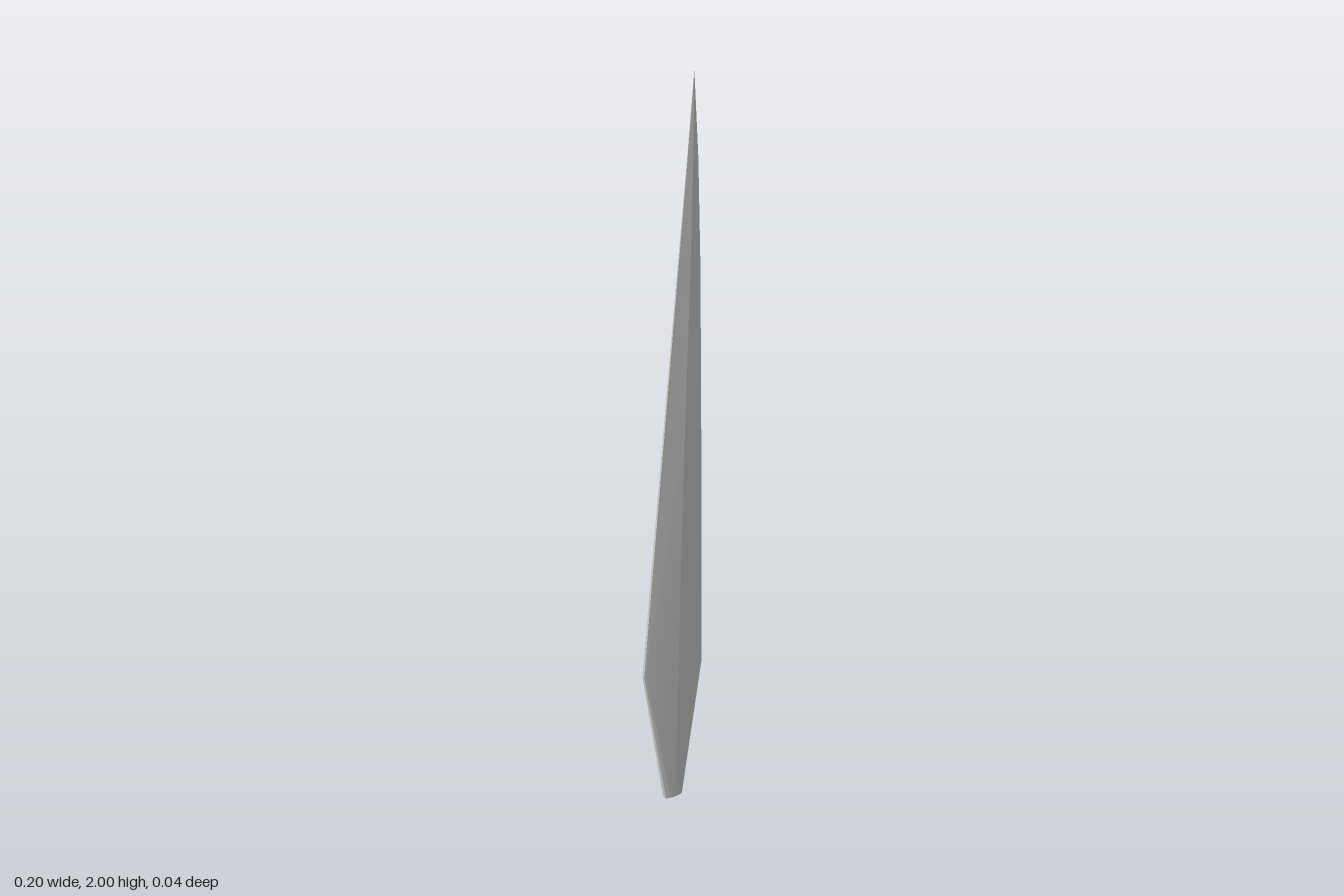
import * as THREE from 'three';
import { toCreasedNormals } from 'three/addons/utils/BufferGeometryUtils.js';

// One ten-sided diamond section: narrow side edges, shoulders and two ridges.
// The edge and the ridge may sit at different heights.
function section({ edgeY, ridgeY, left, right, ridgeX, zLeft, zRight, zRidge, edge, ridge, inset, shoulder }) {
  const half = (s) => [
    [left, edgeY, zLeft + s * edge],
    [left + inset, edgeY, zLeft + s * shoulder],
    [ridgeX, ridgeY, zRidge + s * ridge],
    [right - inset, edgeY, zRight + s * shoulder],
    [right, edgeY, zRight + s * edge],
  ];
  return [...half(1), ...half(-1).reverse()];
}

// Skin consecutive sections, closing the base flat and the top in a point.
function loft(sections, tip) {
  const n = sections[0].length;
  const pos = [];
  const tri = (...p) => p.forEach((v) => pos.push(...v));
  const base = [0, 1, 2].map((k) => sections[0].reduce((sum, p) => sum + p[k], 0) / n);
  const last = sections[sections.length - 1];
  for (let j = 0; j < n; j++) {
    const k = (j + 1) % n;
    tri(base, sections[0][k], sections[0][j]);
    for (let i = 0; i < sections.length - 1; i++) {
      const lo = sections[i], hi = sections[i + 1];
      tri(lo[j], lo[k], hi[k]);
      tri(lo[j], hi[k], hi[j]);
    }
    tri(last[j], last[k], tip);
  }
  const g = new THREE.BufferGeometry();
  g.setAttribute('position', new THREE.Float32BufferAttribute(pos, 3));
  return toCreasedNormals(g, 0.12);
}

export function createModel() {
  const group = new THREE.Group();
  const material = new THREE.MeshStandardMaterial({ color: 0xcccccc });

  const sections = [
    // blunt foot
    { edgeY: 0, ridgeY: 0, left: -0.033, right: 0.025, ridgeX: -0.004, zLeft: 0.001, zRight: 0.003,
      zRidge: 0.002, edge: 0.006, ridge: 0.013, inset: 0.012, shoulder: 0.011 },
    // widest point, with the ridge peak set higher than the edges
    { edgeY: 0.39, ridgeY: 0.61, left: -0.1, right: 0.097, ridgeX: 0.008, zLeft: -0.01, zRight: 0.006,
      zRidge: -0.001, edge: 0.004, ridge: 0.021, inset: 0.005, shoulder: 0.006 },
    // slender blade leaning to one side
    { edgeY: 1.05, ridgeY: 1.08, left: -0.034, right: 0.092, ridgeX: 0.026, zLeft: -0.001, zRight: 0.006,
      zRidge: 0.004, edge: 0.003, ridge: 0.014, inset: 0.005, shoulder: 0.004 },
    { edgeY: 1.5, ridgeY: 1.5, left: 0.012, right: 0.086, ridgeX: 0.045, zLeft: 0.004, zRight: 0.007,
      zRidge: 0.007, edge: 0.002, ridge: 0.009, inset: 0.004, shoulder: 0.003 },
    { edgeY: 1.78, ridgeY: 1.78, left: 0.041, right: 0.077, ridgeX: 0.056, zLeft: 0.007, zRight: 0.008,
      zRidge: 0.008, edge: 0.001, ridge: 0.005, inset: 0.003, shoulder: 0.002 },
  ].map(section);

  const blade = new THREE.Mesh(loft(sections, [0.063, 2, 0.008]), material);
  blade.name = 'blade';
  group.add(blade);
  return group;
}
